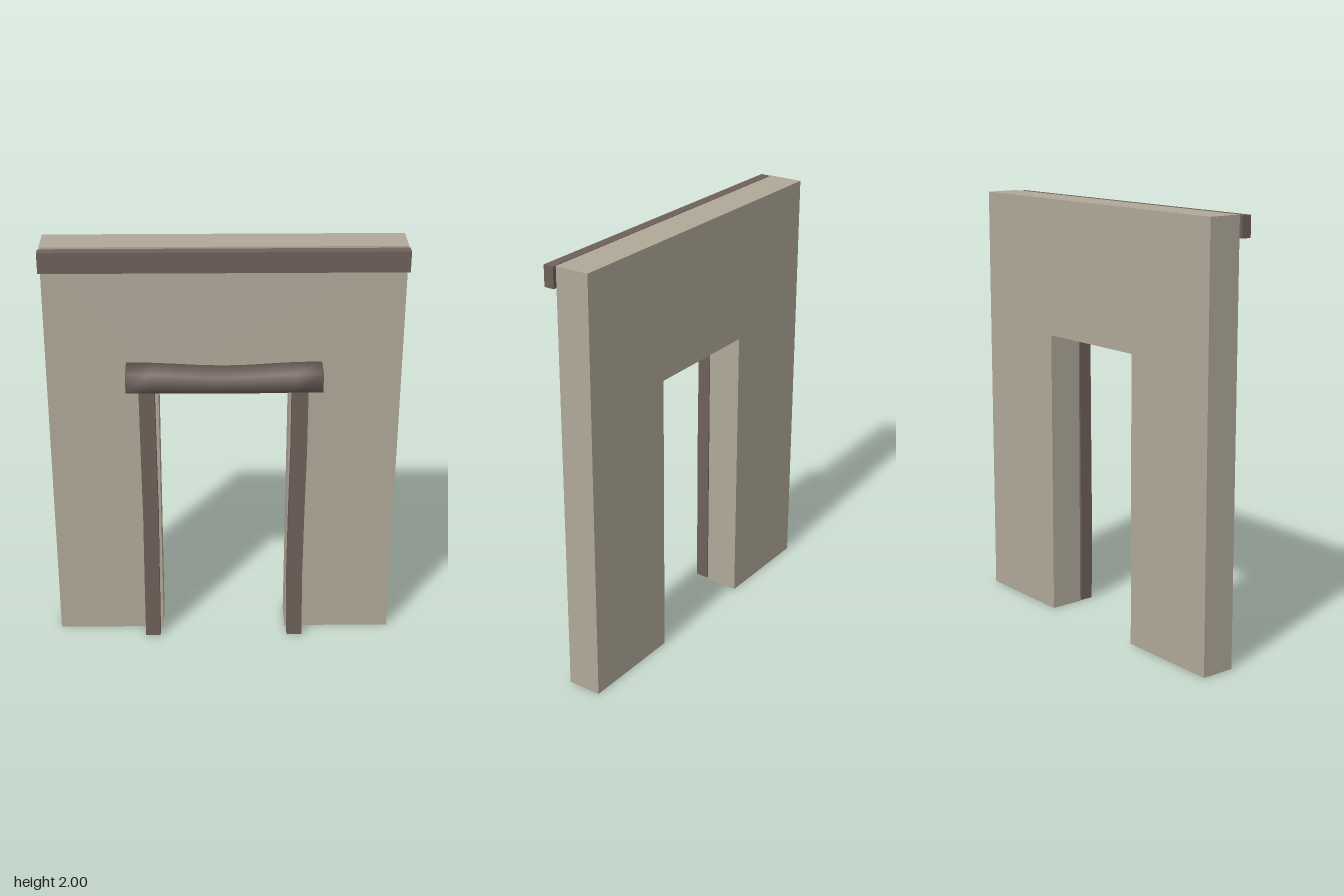
import * as THREE from 'three';
import { mergeVertices } from 'three/addons/utils/BufferGeometryUtils.js';

function makeMaterial(name, color) {
  const m = new THREE.MeshStandardMaterial({ color });
  m.name = name;
  return m;
}

// Box given by its min and max corners
function boxBetween(min, max, sx = 1, sy = 1) {
  const size = max.map((v, i) => v - min[i]);
  return new THREE.BoxGeometry(...size, sx, sy, 1)
    .translate(...min.map((v, i) => v + size[i] / 2));
}

// Moves every vertex by a rule
function bend(geometry, rule) {
  const p = geometry.attributes.position;
  const v = new THREE.Vector3();
  for (let i = 0; i < p.count; i++) {
    v.fromBufferAttribute(p, i);
    rule(v);
    p.setXYZ(i, v.x, v.y, v.z);
  }
  geometry.computeVertexNormals();
  return geometry;
}

export function createModel() {
  const group = new THREE.Group();
  const plaster = makeMaterial('plaster', 0xb0a999);
  const wood = makeMaterial('dark wood', 0x6f605a);

  function add(name, geometry, material) {
    const mesh = new THREE.Mesh(geometry, material);
    mesh.name = name;
    group.add(mesh);
  }

  // Wall with a doorway open at the bottom
  const outline = [[-0.807, 0], [-0.3, 0], [-0.3, 1.36], [0.3, 1.36],
    [0.3, 0], [0.807, 0], [0.807, 2], [-0.807, 2]];
  const shape = new THREE.Shape(outline.map(([x, y]) => new THREE.Vector2(x, y)));
  const wall = new THREE.ExtrudeGeometry(shape, { depth: 0.162, bevelEnabled: false });
  add('wall', wall.translate(0, 0, -0.148), plaster);

  // Straight beam along the top
  add('topBeam', boxBetween([-0.812, 1.9, 0.025], [0.812, 1.996, 0.073]), wood);

  // Lintel sagging in the middle, softly shaded across its edges
  let lintel = boxBetween([-0.443, 1.357, 0.02], [0.443, 1.45, 0.147], 8, 1);
  lintel.deleteAttribute('normal');
  lintel.deleteAttribute('uv');
  lintel = mergeVertices(lintel);
  bend(lintel, (v) => {
    const sag = 0.5 + 0.5 * Math.cos(Math.PI * Math.min(1, Math.abs(v.x) / 0.4));
    v.y -= sag * (v.y > 1.4 ? 0.017 : 0.004);
  });
  add('lintel', lintel, wood);

  // Slightly crooked door posts; offsets run from floor to lintel
  const posts = [
    ['rightPost', -0.386, -0.314, [0, 0.001, 0.003, 0, -0.002]],
    ['leftPost', 0.307, 0.381, [0, -0.005, -0.003, 0.001, 0]],
  ];
  for (const [name, x0, x1, offsets] of posts) {
    const post = boxBetween([x0, 0, 0.026], [x1, 1.36, 0.091], 1, 4);
    add(name, bend(post, (v) => { v.x += offsets[Math.round(v.y / 0.34)]; }), wood);
  }

  return group;
}
